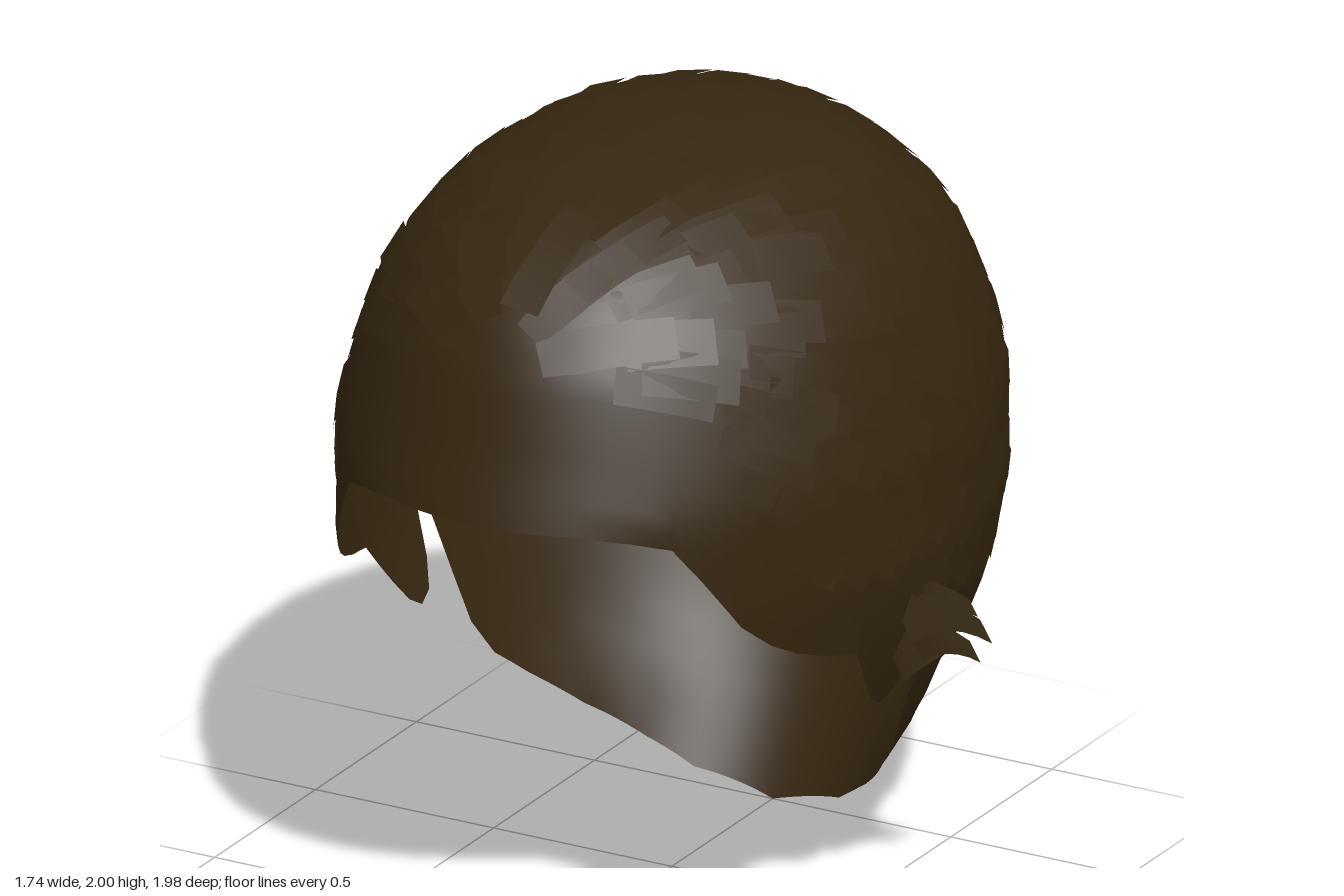
import * as THREE from 'three';

const TOP = 1.985;
const rad = THREE.MathUtils.degToRad;

// Horizontal sections of the hair cap: height, half width, front depth, back depth
const sections = [
  [1.985, 0, 0, 0], [1.96, 0.22, 0.3, 0.28], [1.9, 0.38, 0.57, 0.47], [1.8, 0.515, 0.745, 0.64],
  [1.7, 0.6, 0.835, 0.75], [1.6, 0.66, 0.885, 0.83], [1.4, 0.725, 0.95, 0.93], [1.26, 0.75, 0.997, 0.965],
  [1.0, 0.755, 1, 0.97], [0.8, 0.72, 1, 0.915], [0.6, 0.645, 1, 0.825], [0.42, 0.575, 1, 0.74],
  [0.24, 0.47, 1, 0.64], [0.13, 0.45, 1, 0.575], [0, 0.42, 1, 0.5],
].map(([y, ...v]) => [Math.sqrt(TOP - y), ...v]);

// Lower edge by angle from the front: fringe, temple, sideburn, ear notch, nape
const rim = [
  [0, 1.26], [20, 1.255], [30, 1.235], [37, 1.21], [42, 1.12], [49, 0.98], [55, 0.91], [60, 0.87],
  [66, 0.835], [72.5, 0.81], [78, 0.69], [81, 0.63], [84, 0.6], [87, 0.62], [89, 0.69], [90.3, 0.8],
  [93.5, 0.775], [94.4, 0.62], [95.2, 0.5], [99, 0.41], [106, 0.34], [118, 0.24], [137, 0.13], [152, 0.055], [180, 0],
];

// Lowest height at which the layered locks may end
const lockLimit = [[0, 1.58], [35, 1.52], [50, 1.2], [65, 1.0], [80, 0.88], [95, 0.84], [110, 0.6], [140, 0.36], [180, 0.24]];

function lerpTable(table, x, col = 1) {
  let i = 1;
  while (i < table.length - 1 && table[i][0] < x) i++;
  const a = table[i - 1], b = table[i];
  const t = THREE.MathUtils.clamp((x - a[0]) / (b[0] - a[0]), 0, 1);
  return a[col] + (b[col] - a[col]) * t;
}

function capPoint(deg, s) {
  const c = Math.cos(rad(deg));
  return [
    lerpTable(sections, s, 1) * Math.sin(rad(deg)),
    TOP - s * s,
    lerpTable(sections, s, c > 0 ? 2 : 3) * c,
  ];
}

function makeGeometry(positions, index) {
  const g = new THREE.BufferGeometry();
  g.setAttribute('position', new THREE.Float32BufferAttribute(positions, 3));
  g.setIndex(index);
  g.computeVertexNormals();
  return g;
}

// Smooth shell from the crown down to the shaped rim
function capGeometry() {
  const half = [];
  for (let i = 0; i < rim.length - 1; i++) {
    const [a0, y0] = rim[i], [a1, y1] = rim[i + 1];
    const n = Math.ceil((a1 - a0) / 3);
    for (let k = 0; k < n; k++) half.push([a0 + (a1 - a0) * k / n, y0 + (y1 - y0) * k / n]);
  }
  half.push([180, 0]);
  const cols = [...half, ...half.slice(1, -1).reverse().map(([a, y]) => [360 - a, y])];
  const rows = 36, pos = [], idx = [];
  for (const [a, y] of cols) {
    for (let r = 0; r <= rows; r++) pos.push(...capPoint(a, Math.sqrt(TOP - y) * r / rows));
  }
  cols.forEach((_, c) => {
    const a = c * (rows + 1), b = ((c + 1) % cols.length) * (rows + 1);
    for (let r = 0; r < rows; r++) {
      idx.push(a + r, a + r + 1, b + r + 1, a + r, b + r + 1, b + r);
    }
  });
  return makeGeometry(pos, idx);
}

// Where a ray from inside the head meets the cap
const centre = new THREE.Vector3(0, 0.95, 0);
function project(dir, lift) {
  let lo = 0, hi = 1.7;
  for (let i = 0; i < 24; i++) {
    const r = (lo + hi) / 2;
    const y = centre.y + dir.y * r, x = dir.x * r, z = dir.z * r;
    let inside = y < TOP;
    if (inside) {
      const s = Math.sqrt(TOP - y);
      const w = lerpTable(sections, s, 1), d = lerpTable(sections, s, z > 0 ? 2 : 3);
      inside = (x / w) ** 2 + (z / d) ** 2 < 1;
    }
    if (inside) lo = r; else hi = r;
  }
  return centre.clone().addScaledVector(dir, lo + lift);
}

function angleFromFront(p) {
  const s = Math.sqrt(Math.max(0, TOP - p.y));
  const w = lerpTable(sections, s, 1) || 1, d = lerpTable(sections, s, p.z > 0 ? 2 : 3) || 1;
  return THREE.MathUtils.radToDeg(Math.atan2(Math.abs(p.x) / w, p.z / d));
}

// Overlapping locks flowing from the hairline over the crown to the nape
function locksGeometry(random) {
  const axis = new THREE.Vector3(0, 0.6, 0.8), up = new THREE.Vector3(0, 0.8, -0.6);
  const pos = [], idx = [], steps = 4, reach = rad(140);
  for (let row = 8; row < 166; row += 7) {
    const count = Math.ceil(2 * reach * Math.sin(rad(row)) / 0.08);
    for (let k = 0; k < count; k++) {
      const phi = -reach + 2 * reach * (k + 0.5 + (random() - 0.5) * 0.5) / count;
      const start = row + (random() - 0.5) * 6, length = 12 + random() * 6;
      const width = 0.04 + random() * 0.016, lift = 0.004 + random() * 0.004;
      const tail = 0.006 + random() * 0.006, points = [];
      for (let j = 0; j <= steps; j++) {
        const t = j / steps, u = rad(start + length * t);
        for (const side of [-1, 1]) {
          const a = phi + side * width / Math.max(0.15, Math.sin(u));
          const dir = axis.clone().multiplyScalar(Math.cos(u))
            .addScaledVector(up, Math.sin(u) * Math.cos(a));
          dir.x += Math.sin(u) * Math.sin(a);
          points.push(project(dir.normalize(), lift + tail * t * t));
        }
      }
      if (points.some((p) => p.y < lerpTable(lockLimit, angleFromFront(p)))) continue;
      const base = pos.length / 3;
      points.forEach((p) => pos.push(p.x, p.y, p.z));
      for (let j = 0; j < steps; j++) {
        const a = base + j * 2;
        idx.push(a, a + 1, a + 2, a + 1, a + 3, a + 2);
      }
    }
  }
  return makeGeometry(pos, idx);
}

// Curled strip between a root and a tip, widening then narrowing
function tuftGeometry(root, bend, tip, width) {
  const curve = new THREE.QuadraticBezierCurve3(
    new THREE.Vector3(...root), new THREE.Vector3(...bend), new THREE.Vector3(...tip));
  const pos = [], idx = [], steps = 6;
  for (let i = 0; i <= steps; i++) {
    const t = i / steps, p = curve.getPoint(t), h = width * (1 - 0.45 * t);
    pos.push(p.x - h * 0.35, p.y + h, p.z + h * 0.3, p.x + h * 0.35, p.y - h, p.z - h * 0.3);
    if (i < steps) idx.push(2 * i, 2 * i + 1, 2 * i + 2, 2 * i + 1, 2 * i + 3, 2 * i + 2);
  }
  return makeGeometry(pos, idx);
}

export function createModel() {
  let seed = 7;
  const random = () => (seed = (seed * 16807) % 2147483647) / 2147483647;
  const brown = new THREE.MeshStandardMaterial({ color: 0x35260f, side: THREE.DoubleSide });
  brown.name = 'dark brown hair';

  const group = new THREE.Group();
  group.name = 'hair';
  const add = (name, geometry, parent = group) => {
    const mesh = new THREE.Mesh(geometry, brown);
    mesh.name = name;
    parent.add(mesh);
  };
  add('hairCap', capGeometry());
  add('layeredLocks', locksGeometry(random));

  // Loose tufts in front of each ear
  const tufts = [
    [[0.72, 0.84, 0.13], [0.78, 0.88, 0.06], [0.86, 0.78, -0.04], 0.06],
    [[0.71, 0.76, 0.1], [0.78, 0.81, 0.06], [0.84, 0.73, -0.02], 0.055],
    [[0.73, 0.9, 0.08], [0.78, 0.9, 0.04], [0.83, 0.84, -0.03], 0.045],
    [[0.69, 0.73, 0.12], [0.74, 0.76, 0.09], [0.78, 0.77, 0.02], 0.06],
  ];
  for (const side of [1, -1]) {
    const ear = new THREE.Group();
    ear.name = side > 0 ? 'leftEarTufts' : 'rightEarTufts';
    const flip = ([x, y, z]) => [x * side, y, z];
    for (const [root, bend, tip, width] of tufts) {
      const g = tuftGeometry(flip(root), flip(bend), flip(tip), width);
      add('earTuft', g, ear);
    }
    group.add(ear);
  }
  return group;
}
